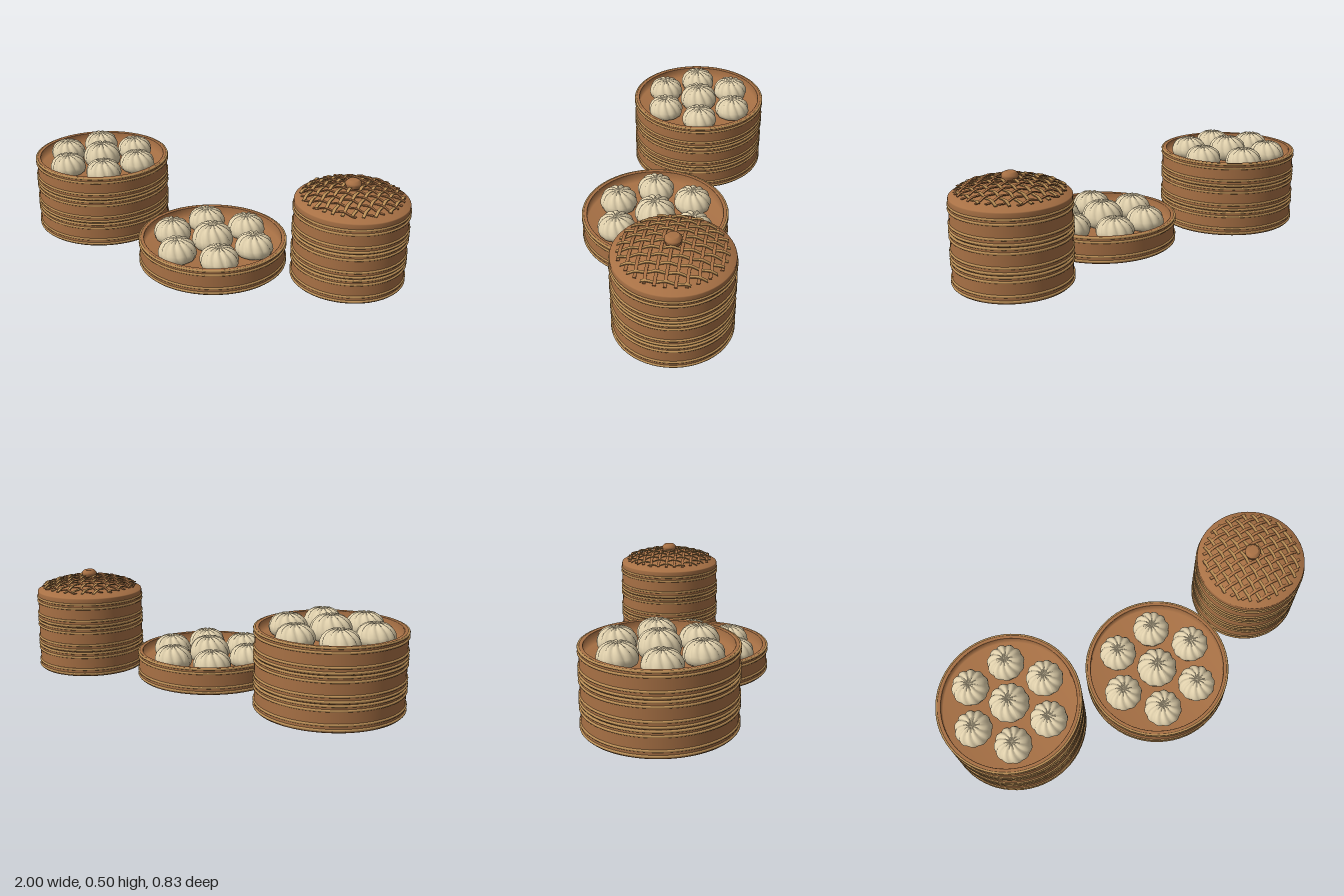
import * as THREE from 'three';

const mat = (name, color) => Object.assign(new THREE.MeshStandardMaterial({ color }), { name });
const V = (x, y) => new THREE.Vector2(x, y);

export function createModel() {
  const bamboo = mat('bamboo', 0xa87145);
  const band = mat('pale bamboo', 0xb98d55);
  const dough = mat('dough', 0xe0d0ac);
  const root = new THREE.Group();
  root.name = 'steamerBaskets';

  const add = (parent, geo, material, name, x = 0, y = 0, z = 0) => {
    const m = new THREE.Mesh(geo, material);
    m.name = name;
    m.position.set(x, y, z);
    parent.add(m);
    return m;
  };

  // One tier: wall with a raised floor, plus four hoops
  function addTier(parent, r, h, y, floor) {
    const tier = new THREE.Group();
    tier.name = 'basketTier';
    tier.position.y = y;
    parent.add(tier);
    const ri = r - 0.02, b = 0.004;
    const wall = new THREE.LatheGeometry([
      V(0, floor - 0.012), V(ri, floor - 0.012), V(ri, 0.002), V(ri + 0.002, 0), V(r - b, 0),
      V(r, b), V(r, 2 * b), V(r, h - 2 * b), V(r, h - b), V(r - b, h),
      V(ri + 0.002, h), V(ri, h - 0.002), V(ri, floor), V(0, floor),
    ], 64);
    add(tier, wall, bamboo, 'basketWall');
    const hoop = new THREE.TorusGeometry(r, 0.006, 8, 64).rotateX(Math.PI / 2);
    for (const hy of [0.012, 0.036, h - 0.026, h - 0.005]) add(tier, hoop, band, 'hoop', 0, hy);
  }

  // Pleated bun: a dome whose radius ripples more towards the gathered top
  function bunGeometry(r, h) {
    const profile = [[0, 0], [0.75, 0], [0.92, 0.1], [1, 0.3], [0.98, 0.5], [0.88, 0.7],
      [0.72, 0.85], [0.52, 0.95], [0.32, 1], [0.16, 0.99], [0.07, 0.95], [0, 0.93]];
    const geo = new THREE.LatheGeometry(profile.map(([a, c]) => V(a * r, c * h)), 66);
    const p = geo.attributes.position;
    for (let i = 0; i < p.count; i++) {
      const x = p.getX(i), y = p.getY(i), z = p.getZ(i), t = y / h;
      const swirl = Math.atan2(x, z) + 0.35 * t * t;
      const ridge = Math.abs(Math.sin(swirl * 5.5));
      const k = 1 - (0.03 + 0.1 * t) * (1 - ridge);
      const drop = t > 0.4 ? 0.07 * h * (1 - ridge) * Math.min(1, Math.hypot(x, z) / (0.3 * r)) : 0;
      p.setXYZ(i, x * k, y - drop, z * k);
    }
    geo.computeVertexNormals();
    return geo;
  }

  // A middle bun ringed by six
  function addBuns(parent, r, h, y, ring) {
    const side = bunGeometry(r, h), middle = bunGeometry(r * 1.08, h * 1.16);
    add(parent, middle, dough, 'middleBun', 0, y, 0);
    for (let k = 0; k < 6; k++) {
      const a = -0.14 + k * Math.PI / 3;
      add(parent, side, dough, 'bun', ring * Math.cos(a), y, ring * Math.sin(a)).rotation.y = k * 0.9;
    }
  }

  const stack = (name, x, z) => {
    const g = new THREE.Group();
    g.name = name;
    g.position.set(x, 0, z);
    root.add(g);
    return g;
  };

  const tall = stack('tallStack', -0.653, -0.07);
  for (let i = 0; i < 3; i++) addTier(tall, 0.341, 0.125, i * 0.125, 0.07);
  addBuns(tall, 0.09, 0.1, 0.318, 0.205);

  const single = stack('singleBasket', 0.09, 0.052);
  addTier(single, 0.357, 0.132, 0, 0.074);
  addBuns(single, 0.094, 0.106, 0.073, 0.215);

  const lidded = stack('liddedStack', 0.727, -0.128);
  for (let i = 0; i < 3; i++) addTier(lidded, 0.267, 0.125, i * 0.125, 0.07);

  // Domed lid
  const lid = new THREE.Group();
  lid.name = 'lid';
  lidded.add(lid);
  const R = 0.268;
  const domeY = (r) => 0.4 + 0.06 * (1 - (r / R) ** 2);
  const dome = [V(0, 0.372), V(R - 0.002, 0.372), V(R, 0.375), V(R, 0.396)];
  for (let i = 0; i <= 10; i++) {
    const r = (R - 0.002) * (1 - i / 10);
    dome.push(V(r, domeY(r)));
  }
  add(lid, new THREE.LatheGeometry(dome, 64), bamboo, 'lidDome');

  // Woven slats, bent over the dome and passing over and under each other
  const step = 0.043;
  for (let i = -5; i <= 5; i++) {
    const off = i * step;
    const half = Math.sqrt(0.238 ** 2 - off ** 2);
    for (const along of ['x', 'z']) {
      const geo = new THREE.BoxGeometry(half * 2, 0.004, 0.014, 44, 1, 1);
      const p = geo.attributes.position;
      const sign = (along === 'x' ? 1 : -1) * (i % 2 ? -1 : 1);
      for (let v = 0; v < p.count; v++) {
        const x = p.getX(v);
        const wave = 0.004 * sign * Math.cos(Math.PI * x / step);
        p.setY(v, p.getY(v) + domeY(Math.hypot(x, off)) + 0.009 + wave);
        p.setZ(v, p.getZ(v) + off);
      }
      if (along === 'z') geo.rotateY(Math.PI / 2);
      geo.computeVertexNormals();
      add(lid, geo, along === 'x' ? bamboo : band, 'wovenSlat');
    }
  }

  // Knob
  const knob = new THREE.LatheGeometry([V(0, 0.455), V(0.034, 0.455), V(0.034, 0.47), V(0.038, 0.476),
    V(0.038, 0.487), V(0.027, 0.498), V(0.024, 0.5), V(0, 0.5)], 24);
  add(lid, knob, bamboo, 'knob');

  return root;
}
